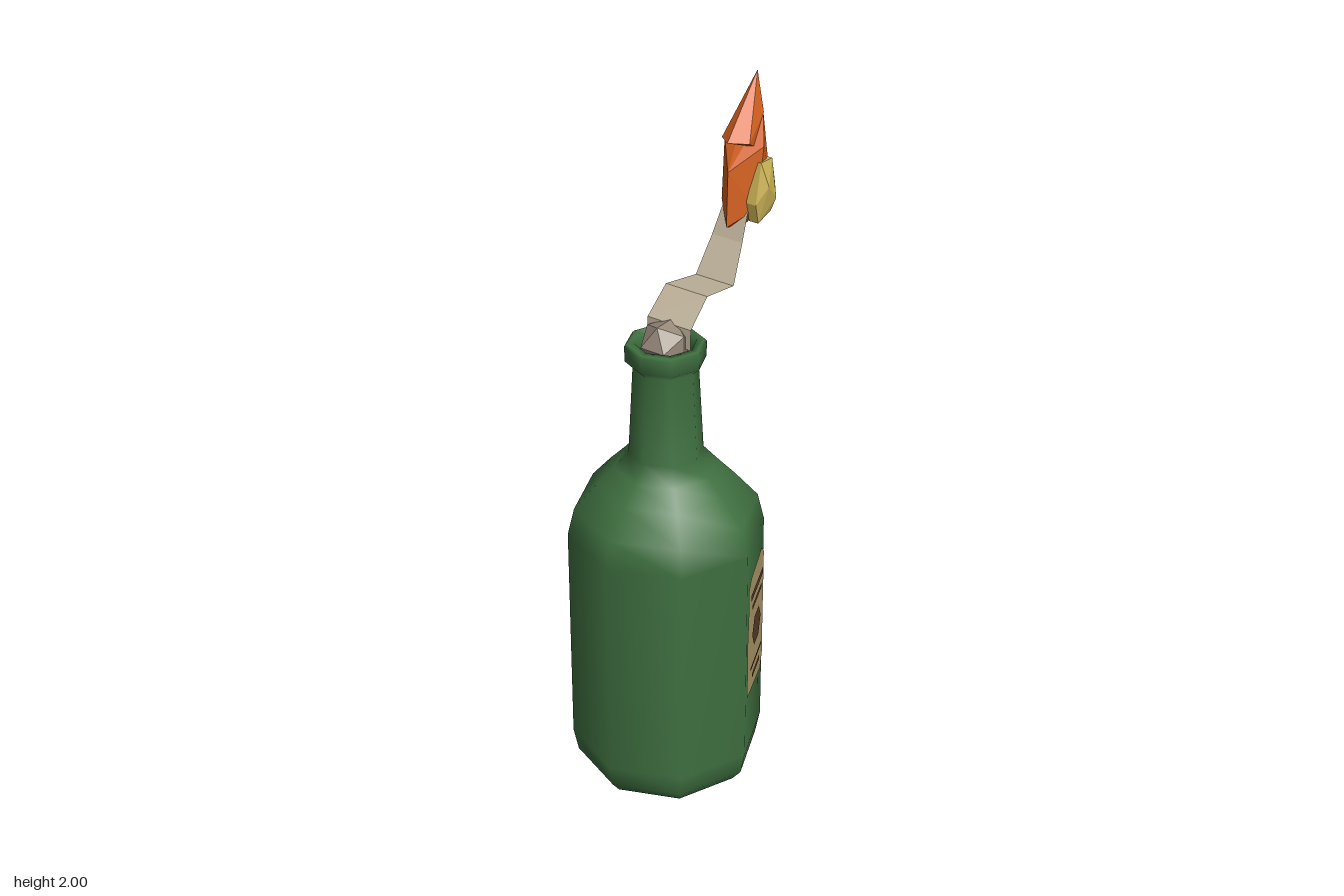
import * as THREE from 'three';
import { ConvexGeometry } from 'three/addons/geometries/ConvexGeometry.js';

const CX = -0.082; // bottle axis
const R = 0.277;   // body radius

function material(name, color, extra = {}) {
  const m = new THREE.MeshStandardMaterial({ color, ...extra });
  m.name = name;
  return m;
}

export function createModel() {
  const model = new THREE.Group();
  model.name = 'bottleWithBurningRag';
  const glass = material('green glass', 0x3f7040);
  const paper = material('label paper', 0xb09a6a);
  const ink = material('label ink', 0x573c2d);
  const cloth = material('rag cloth', 0xbcb098, { side: THREE.DoubleSide, flatShading: true });
  const plugCloth = material('plug cloth', 0x988a7b, { flatShading: true });
  const orange = material('orange flame', 0xd66220, { flatShading: true });
  const yellow = material('yellow flame', 0xc9b055, { flatShading: true });

  const add = (name, geometry, mat, parent = model) => {
    const mesh = new THREE.Mesh(geometry, mat);
    mesh.name = name;
    parent.add(mesh);
    return mesh;
  };
  const v2 = ([x, y]) => new THREE.Vector2(x, y);

  // Eight-sided bottle, from the base over the lip and down inside the mouth
  const profile = [
    [0.235, 0], [0.263, 0.035], [R, 0.105], [R, 0.78], [0.258, 0.86], [0.193, 0.935],
    [0.145, 0.985], [0.104, 1.03], [0.09, 1.29], [0.111, 1.31], [0.112, 1.355],
    [0.105, 1.362], [0.085, 1.362], [0.078, 1.33], [0.07, 1.24], [0.001, 1.23],
  ].map(v2);
  add('bottle', new THREE.LatheGeometry(profile, 8), glass).position.x = CX;
  const base = add('bottleBase', new THREE.CircleGeometry(0.235, 8), glass);
  base.rotation.x = Math.PI / 2;
  base.position.x = CX;

  // Worn paper label on one facet
  const label = new THREE.Group();
  label.name = 'label';
  label.position.x = CX;
  label.rotation.y = Math.PI / 8;
  model.add(label);
  const facet = R * Math.cos(Math.PI / 8);
  const outline = [
    [-0.1, 0.3], [0.077, 0.287], [0.102, 0.33], [0.098, 0.44], [0.1, 0.57], [0.1, 0.675],
    [0.068, 0.704], [-0.07, 0.685], [-0.099, 0.66], [-0.095, 0.58], [-0.103, 0.49],
  ].map(v2);
  add('labelPaper', new THREE.ShapeGeometry(new THREE.Shape(outline)), paper, label).position.z = facet + 0.003;

  // Printed bars: width, height, centre y
  for (const [w, h, y] of [[0.154, 0.022, 0.625], [0.125, 0.016, 0.585], [0.142, 0.011, 0.381], [0.097, 0.016, 0.346]]) {
    add('labelBar', new THREE.PlaneGeometry(w, h), ink, label).position.set(0, y, facet + 0.006);
  }
  add('labelHexagon', new THREE.CircleGeometry(0.056, 6), ink, label).position.set(0, 0.487, facet + 0.006);

  // Crumpled cloth plug in the mouth
  add('plug', new THREE.IcosahedronGeometry(0.072, 0), plugCloth).position.set(CX, 1.356, 0);

  // Folded rag strip: x, y, back z, front z
  const strip = [
    [-0.07, 1.35, -0.07, 0.073], [-0.068, 1.41, -0.07, 0.073], [0.015, 1.475, -0.07, 0.067],
    [0.125, 1.465, -0.05, 0.075], [0.2, 1.557, -0.05, 0.05], [0.245, 1.65, -0.04, 0.04],
  ];
  const positions = [];
  const indices = [];
  strip.forEach(([x, y, back, front], i) => {
    positions.push(x, y, back, x, y, front);
    if (i) {
      const a = 2 * i - 2;
      indices.push(a, a + 1, a + 3, a, a + 3, a + 2);
    }
  });
  const rag = new THREE.BufferGeometry();
  rag.setAttribute('position', new THREE.Float32BufferAttribute(positions, 3));
  rag.setIndex(indices);
  rag.computeVertexNormals();
  add('ragStrip', rag, cloth);

  // Faceted flames; points with depth are mirrored front to back about z0
  const flame = (name, mat, z0, points) => {
    const hull = [];
    for (const [x, y, z] of points) {
      hull.push(new THREE.Vector3(x, y, z0 + z));
      if (z) hull.push(new THREE.Vector3(x, y, z0 - z));
    }
    add(name, new ConvexGeometry(hull), mat);
  };
  flame('mainFlame', orange, 0, [
    [0.196, 1.59, 0], [0.296, 1.57, 0], [0.355, 1.69, 0], [0.355, 1.885, 0], [0.32, 1.89, 0.03],
    [0.2, 1.75, 0], [0.255, 1.64, 0.058], [0.275, 1.815, 0.064], [0.33, 1.72, 0.045],
  ]);
  flame('flameTip', orange, 0, [
    [0.333, 2, 0], [0.196, 1.835, 0], [0.235, 1.83, 0.045], [0.28, 1.805, 0.035], [0.322, 1.89, 0.03],
  ]);
  flame('innerFlame', yellow, 0.055, [
    [0.262, 1.772, 0.01], [0.314, 1.77, 0.01], [0.322, 1.7, 0.015], [0.298, 1.625, 0.02],
    [0.245, 1.603, 0.015], [0.232, 1.66, 0.015], [0.262, 1.71, 0.037], [0.3, 1.665, 0.035],
  ]);
  return model;
}
